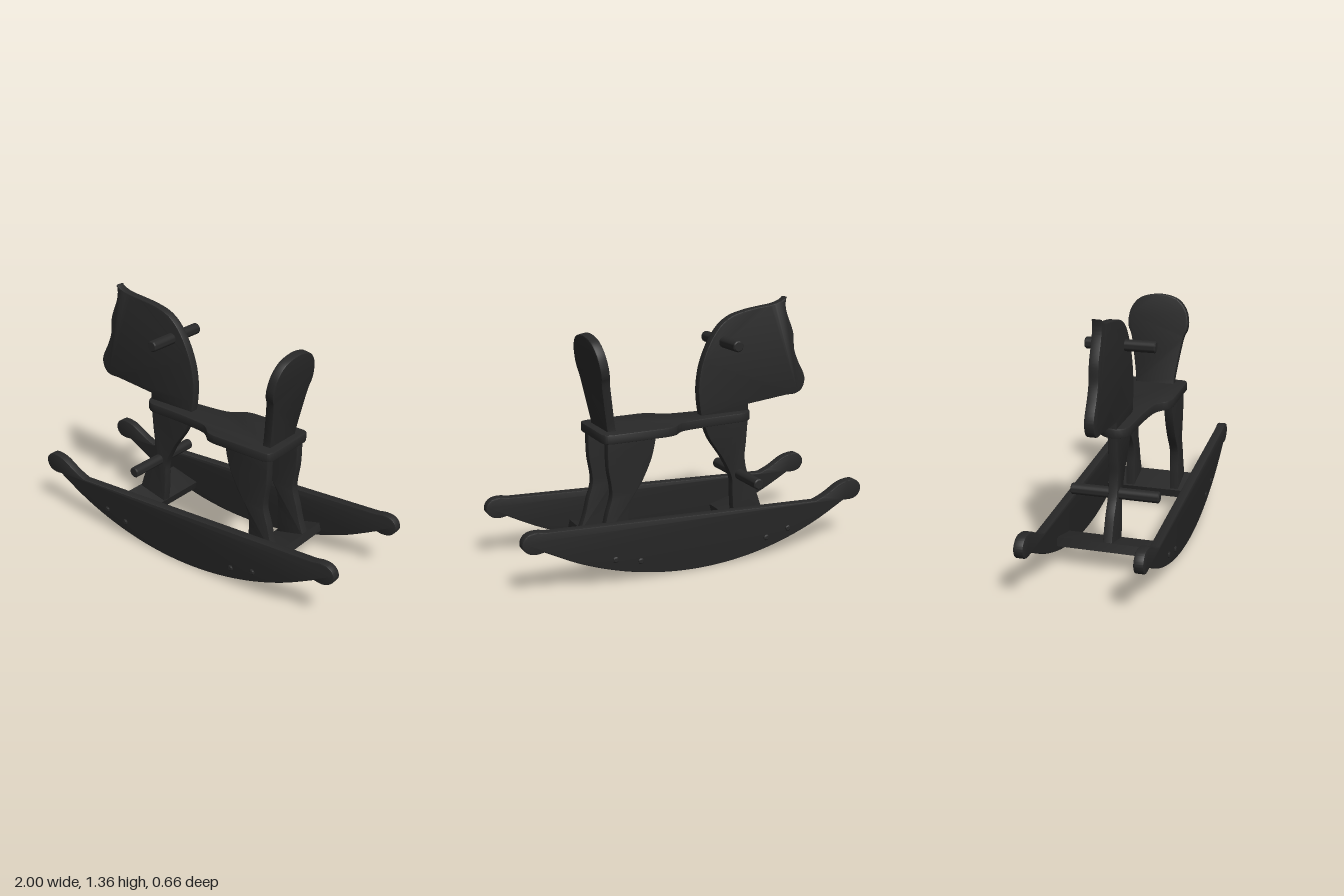
import * as THREE from 'three';
import { toCreasedNormals } from 'three/addons/utils/BufferGeometryUtils.js';

const material = new THREE.MeshStandardMaterial({ color: 0x282828 });

// Outline from runs of points: each run is a smooth curve, with a corner between runs.
function outline(start, ...runs) {
  const shape = new THREE.Shape().moveTo(...start);
  for (const run of runs) {
    if (run.length === 1) shape.lineTo(...run[0]);
    else shape.splineThru(run.map(([x, y]) => new THREE.Vector2(x, y)));
  }
  return shape;
}

// Sawn board: shape of the given thickness, centred on z = 0, edges slightly eased.
function board(shape, thickness, bevel = 0.006) {
  const geometry = new THREE.ExtrudeGeometry(shape, {
    depth: thickness - 2 * bevel, bevelThickness: bevel, bevelSize: bevel,
    bevelOffset: -bevel, bevelSegments: 2, curveSegments: 6,
  });
  geometry.translate(0, 0, -thickness / 2 + bevel);
  return toCreasedNormals(geometry, 0.6);
}

export function createModel() {
  const model = new THREE.Group();
  model.name = 'rockingHorse';

  function add(name, geometry, x = 0, y = 0, z = 0) {
    const mesh = new THREE.Mesh(geometry, material);
    mesh.name = name;
    mesh.position.set(x, y, z);
    model.add(mesh);
    return mesh;
  }

  // Round peg lying along z, with eased ends
  function dowel(name, radius, length, x, y, z = 0) {
    const e = Math.min(0.006, radius / 3), h = length / 2;
    const profile = [[0, -h], [radius - e, -h], [radius, -h + e], [radius, h - e], [radius - e, h], [0, h]]
      .map(([r, t]) => new THREE.Vector2(r, t));
    const geometry = new THREE.LatheGeometry(profile, 24).rotateX(Math.PI / 2);
    add(name, toCreasedNormals(geometry, 0.6), x, y, z);
  }

  // Rockers: circular sole, knobbed ends
  const sole = [];
  for (let i = -5; i <= 5; i++) {
    const x = (i / 5) * 0.885;
    sole.push([x, 1.75 - Math.sqrt(1.75 * 1.75 - x * x)]);
  }
  const rocker = outline([-0.885, 0.24],
    sole.slice(1),
    [[0.925, 0.235], [0.965, 0.245], [0.997, 0.28], [0.99, 0.32], [0.96, 0.345], [0.915, 0.35], [0.87, 0.342]],
    [[-0.70, 0.262]],
    [[-0.77, 0.29], [-0.85, 0.335], [-0.90, 0.35], [-0.95, 0.352], [-0.985, 0.33], [-0.999, 0.295],
      [-0.98, 0.255], [-0.94, 0.238], [-0.885, 0.24]]);
  const rockerGeometry = board(rocker, 0.05);
  for (const side of [-1, 1]) {
    const prefix = side > 0 ? 'left' : 'right';
    add(prefix + 'Rocker', rockerGeometry, 0, 0, side * 0.295);
    for (const [x, y] of [[-0.517, 0.135], [-0.38, 0.103], [0.37, 0.103], [0.51, 0.135]]) {
      dowel(prefix + 'Screw', 0.016, 0.06, x, y, side * 0.298);
    }
  }

  // Tilted boards joining the rockers
  const plank = outline([-0.095, -0.024], [[0.095, -0.024]], [[0.095, 0.024]], [[-0.095, 0.024]]);
  const plankGeometry = board(plank, 0.54, 0.004);
  for (const end of [-1, 1]) {
    add(end < 0 ? 'frontCrossBoard' : 'rearCrossBoard', plankGeometry, end * 0.445, 0.118).rotation.z = end * 0.245;
  }

  // Single front leg
  add('frontLeg', board(outline([-0.53, 0.155],
    [[-0.35, 0.115]],
    [[-0.34, 0.2], [-0.335, 0.285], [-0.328, 0.37], [-0.275, 0.48], [-0.19, 0.605], [-0.15, 0.705]],
    [[-0.43, 0.705]],
    [[-0.42, 0.57], [-0.413, 0.475], [-0.435, 0.375], [-0.485, 0.28], [-0.53, 0.155]]), 0.05));

  // Pair of rear legs
  const rearLeg = board(outline([0.36, 0.12],
    [[0.53, 0.155]],
    [[0.50, 0.24], [0.48, 0.32], [0.456, 0.40], [0.456, 0.46], [0.472, 0.565], [0.475, 0.705]],
    [[0.20, 0.705]],
    [[0.225, 0.595], [0.28, 0.475], [0.342, 0.38], [0.36, 0.31], [0.36, 0.22], [0.36, 0.12]]), 0.05);
  for (const side of [-1, 1]) add(side > 0 ? 'leftRearLeg' : 'rightRearLeg', rearLeg, 0, 0, side * 0.132);

  // Seat: narrow rounded front, wide back
  const flank = [[-0.24, 0.083], [-0.12, 0.09], [0, 0.105], [0.05, 0.13], [0.09, 0.165], [0.14, 0.178]];
  const mirrored = flank.map(([x, z]) => [x, -z]);
  const seat = outline([-0.36, -0.08], mirrored, [[0.46, -0.178]],
    [[0.488, -0.166], [0.5, -0.138]], [[0.5, 0.138]], [[0.488, 0.166], [0.46, 0.178]],
    [[0.14, 0.178]], [...flank.reverse().slice(1), [-0.36, 0.08]]);
  seat.absarc(-0.36, 0, 0.08, Math.PI / 2, Math.PI * 1.5, false);
  add('seat', board(seat, 0.05).rotateX(Math.PI / 2), 0, 0.722);

  // Backrest, leaning back
  const backrest = outline([-0.112, -0.01],
    [[0.112, -0.01]],
    [[0.115, 0.05], [0.148, 0.25], [0.17, 0.31], [0.174, 0.36], [0.155, 0.43], [0.10, 0.486], [0, 0.507],
      [-0.10, 0.486], [-0.155, 0.43], [-0.174, 0.36], [-0.17, 0.31], [-0.148, 0.25], [-0.115, 0.05], [-0.112, -0.01]]);
  add('backrest', board(backrest, 0.048).rotateY(Math.PI / 2), 0.43, 0.742).rotation.z = -0.172;

  // Head with pointed ear and muzzle
  add('head', board(outline([-0.43, 0.74],
    [[-0.135, 0.74]],
    [[-0.122, 0.83], [-0.12, 0.915], [-0.137, 1.02], [-0.18, 1.13], [-0.24, 1.22], [-0.31, 1.273],
      [-0.40, 1.30], [-0.50, 1.315], [-0.58, 1.325], [-0.63, 1.34], [-0.662, 1.36]],
    [[-0.658, 1.32], [-0.668, 1.27], [-0.712, 1.16], [-0.722, 1.065], [-0.752, 0.99], [-0.787, 0.925],
      [-0.797, 0.88], [-0.78, 0.832], [-0.74, 0.808], [-0.68, 0.806]],
    [[-0.43, 0.78]], [[-0.43, 0.74]]), 0.05));

  // Hand and foot pegs
  dowel('handlePeg', 0.03, 0.37, -0.27, 1.14);
  dowel('footPeg', 0.03, 0.475, -0.38, 0.38);

  return model;
}
